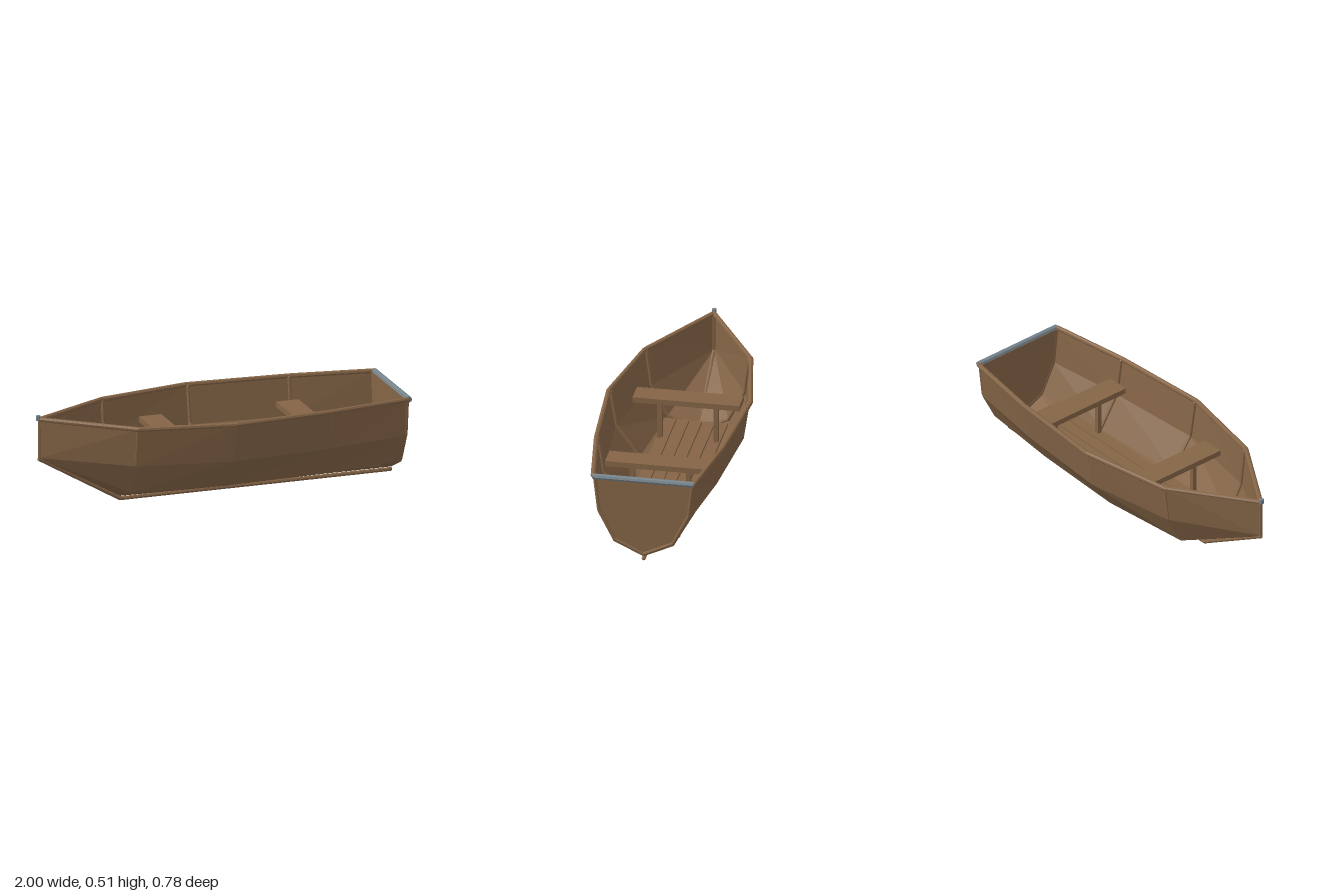
import * as THREE from 'three';

const wood = new THREE.MeshStandardMaterial({ color: 0x84633f, flatShading: true, side: THREE.DoubleSide });
wood.color.set(0x846446);
const metal = new THREE.MeshStandardMaterial({ color: 0x75838a, flatShading: true });

// Hull stations from bow to stern: x, then [y, half width] from keel to gunwale
const stations = [
  { x: -0.98, s: [[0.275, 0], [0.278, 0.003], [0.283, 0.005], [0.49, 0.008]] },
  { x: -0.53, s: [[0.025, 0], [0.09, 0.165], [0.26, 0.255], [0.47, 0.28]] },
  { x: -0.02, s: [[0.025, 0], [0.09, 0.218], [0.26, 0.343], [0.47, 0.375]] },
  { x: 0.53, s: [[0.025, 0], [0.09, 0.195], [0.26, 0.305], [0.47, 0.335]] },
  { x: 0.975, s: [[0.025, 0], [0.1, 0.16], [0.265, 0.245], [0.47, 0.267]] },
];
const V = (x, y, z) => new THREE.Vector3(x, y, z);

export function createModel() {
  const boat = new THREE.Group();
  boat.name = 'rowingBoat';

  const add = (name, geometry, parent = boat, material = wood) => {
    const mesh = new THREE.Mesh(geometry, material);
    mesh.name = name;
    parent.add(mesh);
    return mesh;
  };
  const group = (name) => {
    const g = new THREE.Group();
    g.name = name;
    boat.add(g);
    return g;
  };
  const box = (name, size, pos, parent) => add(name, new THREE.BoxGeometry(...size), parent).position.set(...pos);

  // Round bar between two points
  const bar = (name, a, b, r, parent, material) => {
    const mesh = add(name, new THREE.CylinderGeometry(r, r, a.distanceTo(b), 8), parent, material);
    mesh.position.copy(a).lerp(b, 0.5);
    mesh.quaternion.setFromUnitVectors(V(0, 1, 0), b.clone().sub(a).normalize());
    return mesh;
  };
  // Chain of bars with rounded joints
  const chain = (name, points, r) => {
    const g = group(name);
    points.forEach((p, i) => {
      if (i) bar(name + 'Bar', points[i - 1], p, r, g);
      add(name + 'Joint', new THREE.SphereGeometry(r, 8, 6), g).position.copy(p);
    });
  };

  // Faceted hull planking, mirrored about the keel
  for (const side of [1, -1]) {
    const pos = [];
    const tri = (...pts) => (side > 0 ? pts : pts.reverse()).forEach((p) => pos.push(p.x, p.y, p.z));
    const at = (i, j) => V(stations[i].x, stations[i].s[j][0], side * stations[i].s[j][1]);
    for (let i = 0; i < 4; i++) {
      for (let j = 0; j < 3; j++) {
        tri(at(i, j), at(i + 1, j), at(i + 1, j + 1));
        tri(at(i, j), at(i + 1, j + 1), at(i, j + 1));
      }
    }
    const geometry = new THREE.BufferGeometry();
    geometry.setAttribute('position', new THREE.Float32BufferAttribute(pos, 3));
    geometry.computeVertexNormals();
    add(side > 0 ? 'leftPlanking' : 'rightPlanking', geometry);

    // Gunwale rail
    chain('gunwale', stations.map(({ x, s }, i) => V(x, s[3][0] + 0.002, side * (i ? s[3][1] + 0.003 : 0))), 0.013);
  }

  // Transom closing the stern
  const stern = stations[4];
  const outline = [
    ...stern.s.map(([y, z]) => new THREE.Vector2(-z, y)),
    ...stern.s.slice(1).reverse().map(([y, z]) => new THREE.Vector2(z, y)),
  ];
  const transom = add('transom', new THREE.ExtrudeGeometry(new THREE.Shape(outline), { depth: 0.012, bevelEnabled: false }));
  transom.rotation.y = Math.PI / 2;
  transom.position.x = 0.967;

  // Ribs inside the hull and the frame around the transom
  for (const { x, s } of stations.slice(1)) {
    const half = s.map(([y, z], j) => V(x, j === 3 ? y - 0.005 : y + 0.013, z * 0.975));
    const other = half.slice(1).map((p) => V(p.x, p.y, -p.z));
    chain(x > 0.9 ? 'transomFrame' : 'rib', [...half.reverse(), ...other], x > 0.9 ? 0.011 : 0.009);
  }

  // Keel and stem
  chain('keel', [V(-0.98, 0.275, 0), V(-0.53, 0.012, 0), V(0.975, 0.012, 0)], 0.011);
  bar('stem', V(-0.98, 0.275, 0), V(-0.98, 0.49, 0), 0.009);

  // Metal fittings
  bar('sternCap', V(0.984, 0.471, -0.27), V(0.984, 0.471, 0.27), 0.016, boat, metal);
  bar('bowCap', V(-0.987, 0.488, 0), V(-0.987, 0.514, 0), 0.013, boat, metal);

  // Floor slats
  const floor = group('floor');
  for (let i = -2; i <= 2; i++) box('floorSlat', [1.34, 0.015, 0.064], [0.19, 0.1, i * 0.069], floor);

  // Benches on posts
  for (const x of [-0.26, 0.505]) {
    const bench = group('bench');
    box('benchSeat', [0.125, 0.03, 0.57], [x, 0.34, 0], bench);
    for (const z of [-0.15, 0.15]) box('benchPost', [0.025, 0.22, 0.025], [x, 0.215, z], bench);
  }

  return boat;
}
